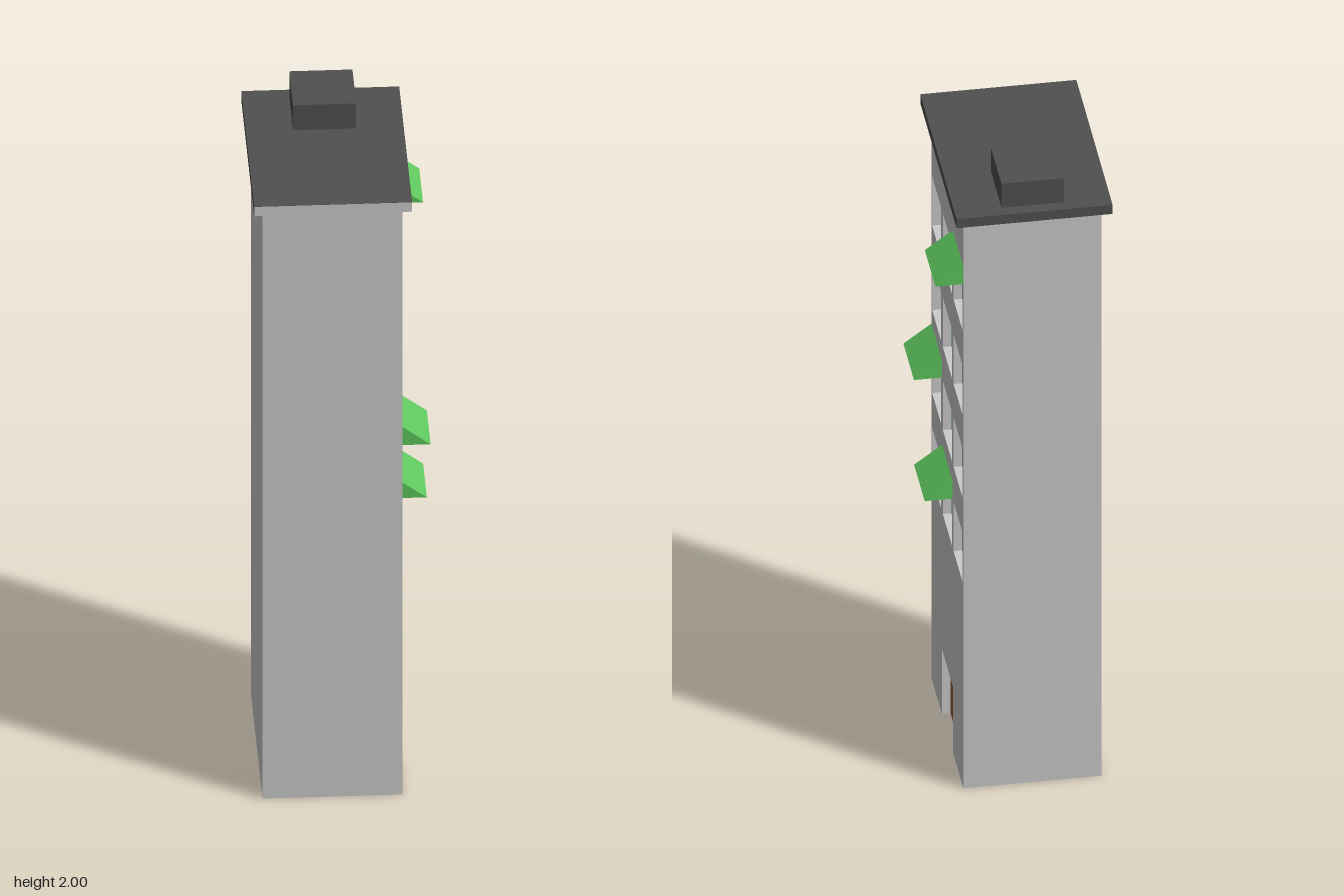
import * as THREE from 'three';

const mat = (color) => new THREE.MeshStandardMaterial({ color, flatShading: true });
const wallMat = mat(0xcccccc);
const roofMat = mat(0x505050);
const glassMat = mat(0x67b0be);
const doorMat = mat(0x8a5a33);
const awningMat = mat(0x5fc75e);

const X0 = -0.22, X1 = 0.165, HALF_Z = 0.275, WALL_TOP = 1.89, RECESS = 0.025;
const COLUMNS = [0.183, 0, -0.183];          // window centres in z
const ROWS = [0.676, 0.956, 1.232, 1.513];   // window sills in y
const WIN_W = 0.154, WIN_H = 0.164, DOOR_W = 0.184, DOOR_H = 0.217;

function add(parent, name, geometry, material) {
  const mesh = new THREE.Mesh(geometry, material);
  mesh.name = name;
  parent.add(mesh);
  return mesh;
}

// Box given by its minimum and maximum corners
function addBox(parent, name, [ax, ay, az], [bx, by, bz], material) {
  const mesh = add(parent, name, new THREE.BoxGeometry(bx - ax, by - ay, bz - az), material);
  mesh.position.set((ax + bx) / 2, (ay + by) / 2, (az + bz) / 2);
  return mesh;
}

// Flat panel facing +x at the back of a recess
function addPanel(parent, name, y, z, w, h, material) {
  const mesh = add(parent, name, new THREE.PlaneGeometry(w, h), material);
  mesh.rotation.y = Math.PI / 2;
  mesh.position.set(X1 - RECESS + 0.001, y + h / 2, z);
}

// Street wall with a door notch and window openings; shape x runs along -z
function facadeGeometry() {
  const d = DOOR_W / 2;
  const shape = new THREE.Shape([
    [-HALF_Z, 0], [-d, 0], [-d, DOOR_H], [d, DOOR_H], [d, 0],
    [HALF_Z, 0], [HALF_Z, WALL_TOP], [-HALF_Z, WALL_TOP],
  ].map(([x, y]) => new THREE.Vector2(x, y)));
  for (const y of ROWS) for (const z of COLUMNS) {
    const a = -z - WIN_W / 2, b = -z + WIN_W / 2;
    shape.holes.push(new THREE.Path([
      [a, y], [a, y + WIN_H], [b, y + WIN_H], [b, y],
    ].map(([px, py]) => new THREE.Vector2(px, py))));
  }
  const geometry = new THREE.ExtrudeGeometry(shape, { depth: RECESS, bevelEnabled: false });
  return geometry.rotateY(Math.PI / 2).translate(X1 - RECESS, 0, 0);
}

// Wedge-shaped awning, sloping down and away from the wall
function awningGeometry() {
  const shape = new THREE.Shape([
    new THREE.Vector2(0, 0), new THREE.Vector2(0.078, 0), new THREE.Vector2(0, 0.058),
  ]);
  return new THREE.ExtrudeGeometry(shape, { depth: 0.181, bevelEnabled: false })
    .translate(0, 0, -0.0905);
}

export function createModel() {
  const model = new THREE.Group();
  model.name = 'apartmentBlock';

  // Walls
  addBox(model, 'body', [X0, 0, -HALF_Z], [X1 - RECESS, WALL_TOP, HALF_Z], wallMat);
  add(model, 'facade', facadeGeometry(), wallMat);

  // Windows and door
  const windows = new THREE.Group();
  windows.name = 'windows';
  model.add(windows);
  for (const y of ROWS) for (const z of COLUMNS) {
    addPanel(windows, 'windowPane', y, z, WIN_W, WIN_H, glassMat);
  }
  addPanel(model, 'door', 0, 0, DOOR_W, DOOR_H, doorMat);

  // Awnings: [row, column]
  for (const [row, column] of [[0, 1], [1, 0], [3, 2]]) {
    const awning = add(model, 'awning', awningGeometry(), awningMat);
    awning.position.set(X1, ROWS[row] + WIN_H, COLUMNS[column]);
  }

  // Roof slab with a pale front edge, and the rooftop hut
  addBox(model, 'roofSlab', [-0.245, WALL_TOP, -0.31], [0.19, 1.92, 0.309], roofMat);
  const fascia = add(model, 'roofFrontEdge', new THREE.PlaneGeometry(0.435, 0.03), wallMat);
  fascia.position.set(-0.0275, 1.905, 0.31);
  addBox(model, 'rooftopHut', [-0.115, 1.92, -0.275], [0.059, 2, -0.093], roofMat);

  return model;
}
